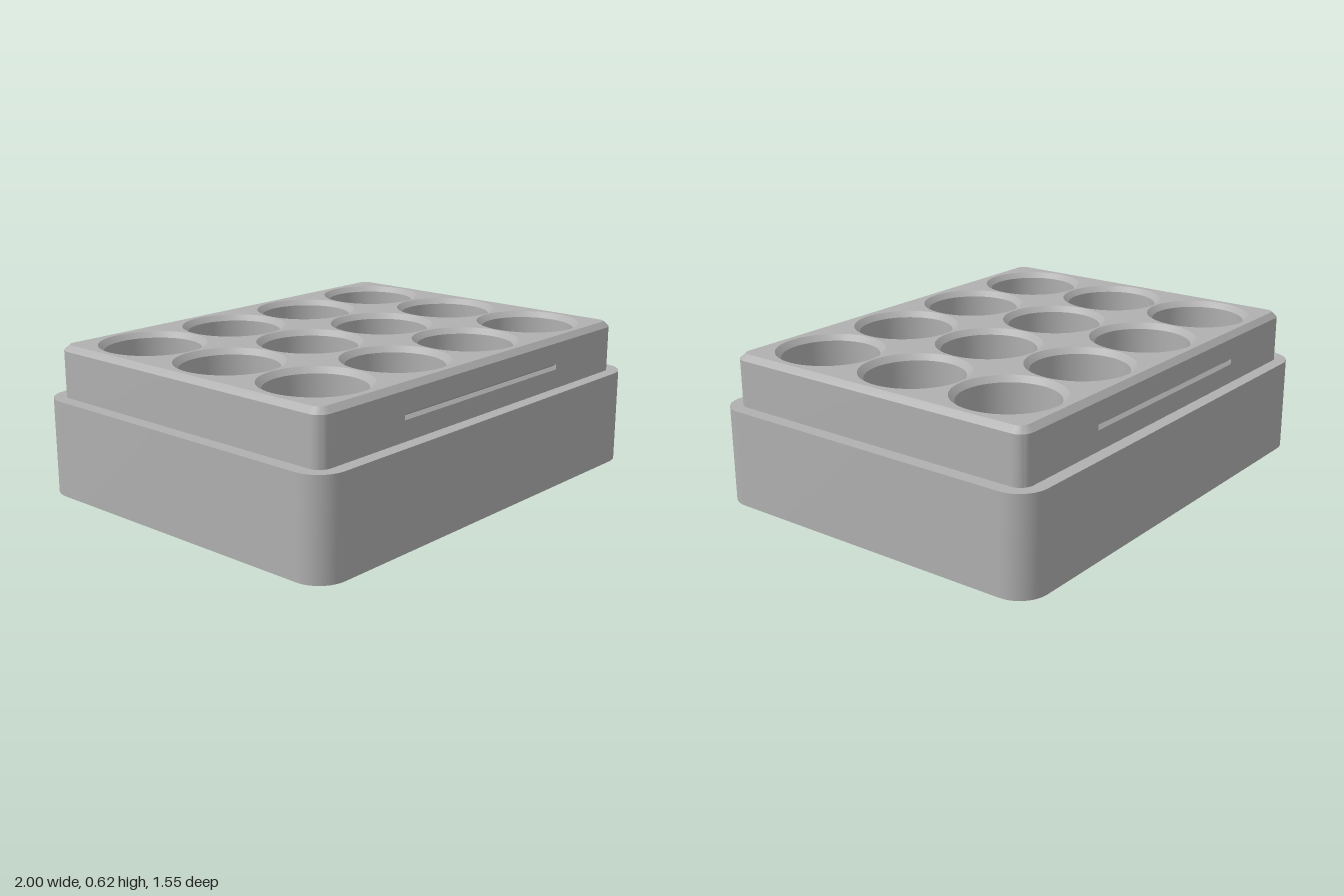
import * as THREE from 'three';
import { toCreasedNormals } from 'three/addons/utils/BufferGeometryUtils.js';

const SLOT = 0.495; // half length of the finger grooves
const TOP = 0.62;
const WELL_R = 0.22;

// Rounded rectangle loop; the long edges carry doubled points at the groove ends.
function loop(hx, hz, r, y, groove = 0) {
  const pts = [];
  const corner = (sx, sz, start) => {
    for (let i = 0; i <= 10; i++) {
      const a = start + (i / 10) * Math.PI / 2;
      pts.push([sx * (hx - r) + r * Math.cos(a), y, sz * (hz - r) + r * Math.sin(a)]);
    }
  };
  const edge = (s) => {
    for (const [x, d] of [[SLOT, 0], [SLOT, groove], [-SLOT, groove], [-SLOT, 0]])
      pts.push([s * x, y, s * (hz - d)]);
  };
  corner(1, 1, 0);
  edge(1);
  corner(-1, 1, Math.PI / 2);
  corner(-1, -1, Math.PI);
  edge(-1);
  corner(1, -1, Math.PI * 1.5);
  return pts;
}

// Skin a stack of loops, ordered from bottom to top.
function loft(loops) {
  const n = loops[0].length;
  const index = [];
  for (let k = 0; k < loops.length - 1; k++) {
    for (let i = 0; i < n; i++) {
      const a = k * n + i, b = k * n + (i + 1) % n;
      index.push(a, a + n, b, b, a + n, b + n);
    }
  }
  const g = new THREE.BufferGeometry();
  g.setAttribute('position', new THREE.Float32BufferAttribute(loops.flat(2), 3));
  g.setIndex(index);
  return toCreasedNormals(g, 0.4);
}

const outline = (hx, hz, r) =>
  new THREE.Shape(loop(hx, hz, r, 0).map(([x, , z]) => new THREE.Vector2(x, -z))
    .filter((p, i, all) => i === 0 || p.distanceTo(all[i - 1]) > 1e-6));

export function createModel() {
  const group = new THREE.Group();
  const grey = new THREE.MeshStandardMaterial({ color: 0xb0b0b0 });
  grey.name = 'grey plastic';
  const add = (name, geometry, parent = group) => {
    const mesh = new THREE.Mesh(geometry, grey);
    mesh.name = name;
    parent.add(mesh);
    return mesh;
  };

  // Base block with its ledge
  add('base', loft([
    loop(1, 0.775, 0.12, 0),
    loop(1, 0.775, 0.12, 0.403),
    loop(0.943, 0.72, 0.055, 0.403),
  ]));
  add('baseUnderside', new THREE.ShapeGeometry(outline(1, 0.775, 0.12)).rotateX(Math.PI / 2));

  // Raised block with a V groove front and back and a chamfered rim
  add('raisedBlock', loft([
    loop(0.943, 0.72, 0.055, 0.403),
    loop(0.943, 0.72, 0.055, 0.485),
    loop(0.943, 0.72, 0.055, 0.498, 0.014),
    loop(0.943, 0.72, 0.055, 0.508),
    loop(0.943, 0.72, 0.055, 0.597),
    loop(0.92, 0.697, 0.035, TOP),
  ]));

  // Well positions, four by three
  const centres = [];
  for (const x of [-0.675, -0.225, 0.225, 0.675])
    for (const z of [-0.45, 0, 0.45]) centres.push([x, z]);

  // Top plate pierced by the wells
  const plate = outline(0.92, 0.697, 0.035);
  for (const [x, z] of centres) {
    const hole = new THREE.Path();
    hole.absarc(x, -z, WELL_R, 0, Math.PI * 2, true);
    plate.holes.push(hole);
  }
  add('topPlate', new THREE.ShapeGeometry(plate, 24).rotateX(-Math.PI / 2).translate(0, TOP, 0));

  // Round wells, chamfered at the mouth
  const profile = [[WELL_R, TOP], [0.197, 0.597], [0.197, 0.1], [0, 0.1]]
    .map(([r, y]) => new THREE.Vector2(r, y));
  const wellGeometry = toCreasedNormals(new THREE.LatheGeometry(profile, 48), 0.4);
  const wells = new THREE.Group();
  wells.name = 'wells';
  group.add(wells);
  for (const [x, z] of centres) add('well', wellGeometry, wells).position.set(x, 0, z);

  return group;
}
